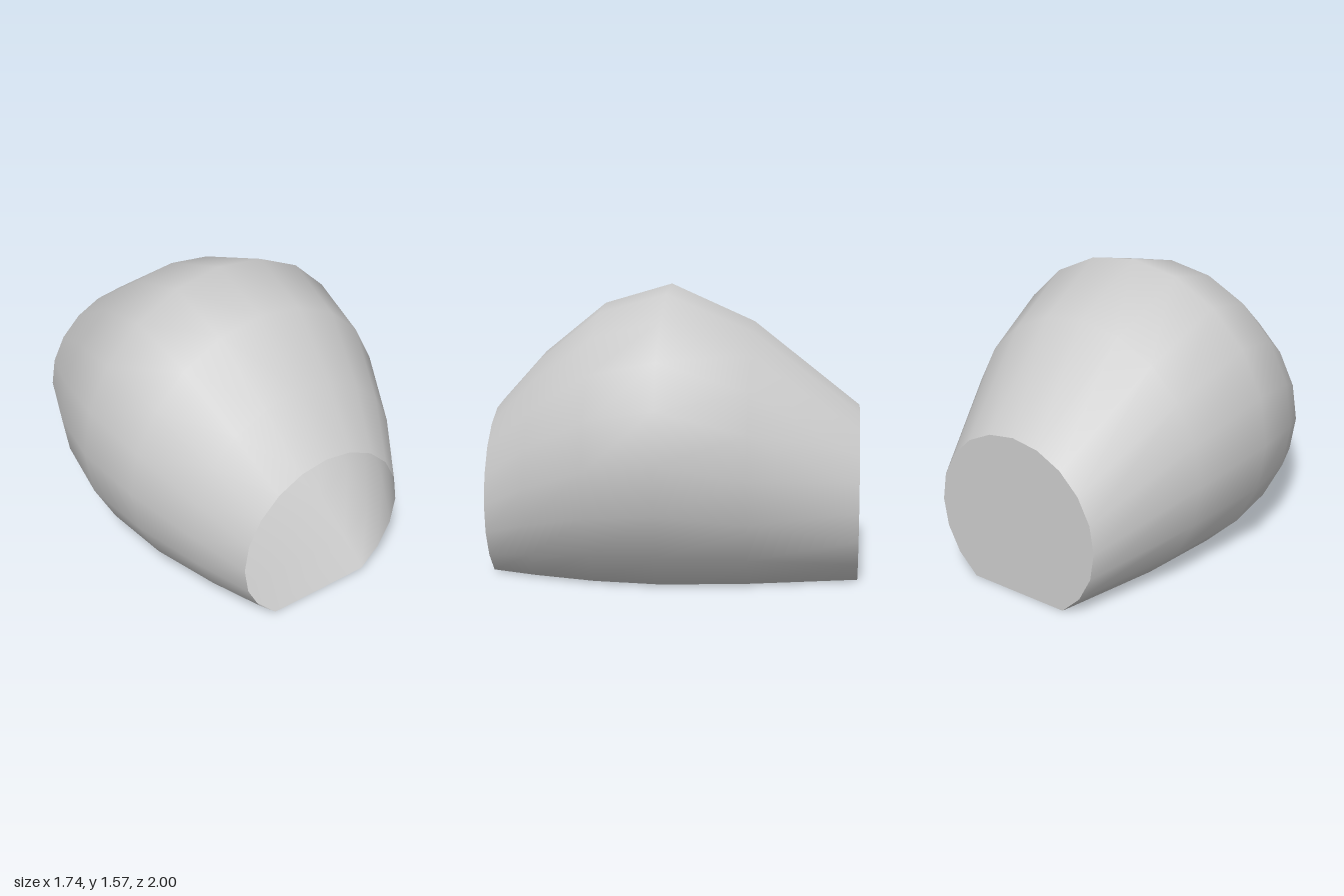
import * as THREE from 'three';

// Rings along the body, front to back: [z, radius]
const RINGS = [[1, 0.505], [0.75, 0.658], [0.41, 0.81], [0.04, 0.87], [-0.42, 0.757], [-1, 0.505]];
const SIDES = 20;
const COUNT = 17; // corners kept of each 20-gon; the lowest three are cut off to leave a flat base

// One cross-section: a 20-gon cut flat at y = 0
function ring(z, r) {
  const drop = r * Math.cos(Math.PI / 5);
  return Array.from({ length: COUNT }, (_, j) => {
    const a = (j - (COUNT - 1) / 2) * (2 * Math.PI / SIDES);
    return [r * Math.sin(a), Math.max(0, drop + r * Math.cos(a)), z];
  });
}

function build(name, points, index, material) {
  const geometry = new THREE.BufferGeometry();
  geometry.setAttribute('position', new THREE.Float32BufferAttribute(points.flat(), 3));
  geometry.setIndex(index);
  geometry.computeVertexNormals();
  const mesh = new THREE.Mesh(geometry, material);
  mesh.name = name;
  return mesh;
}

export function createModel() {
  const group = new THREE.Group();
  group.name = 'barrelShell';
  const material = new THREE.MeshStandardMaterial({ color: 0xcccccc, side: THREE.DoubleSide });

  // Smooth bulging shell with a flat floor, open at the front
  const points = RINGS.flatMap(([z, r]) => ring(z, r));
  const index = [];
  for (let i = 0; i < RINGS.length - 1; i++) {
    for (let j = 0; j < COUNT; j++) {
      const k = (j + 1) % COUNT;
      const a = i * COUNT + j, b = i * COUNT + k;
      const c = a + COUNT, d = b + COUNT;
      index.push(a, b, c, b, d, c);
    }
  }
  group.add(build('shell', points, index, material));

  // Flat wall closing the back
  const wall = [];
  for (let j = 1; j < COUNT - 1; j++) wall.push(0, j, j + 1);
  const [backZ, backR] = RINGS[RINGS.length - 1];
  // corners run counter-clockwise as seen from behind
  group.add(build('backWall', ring(backZ, backR), wall, material));
  return group;
}
